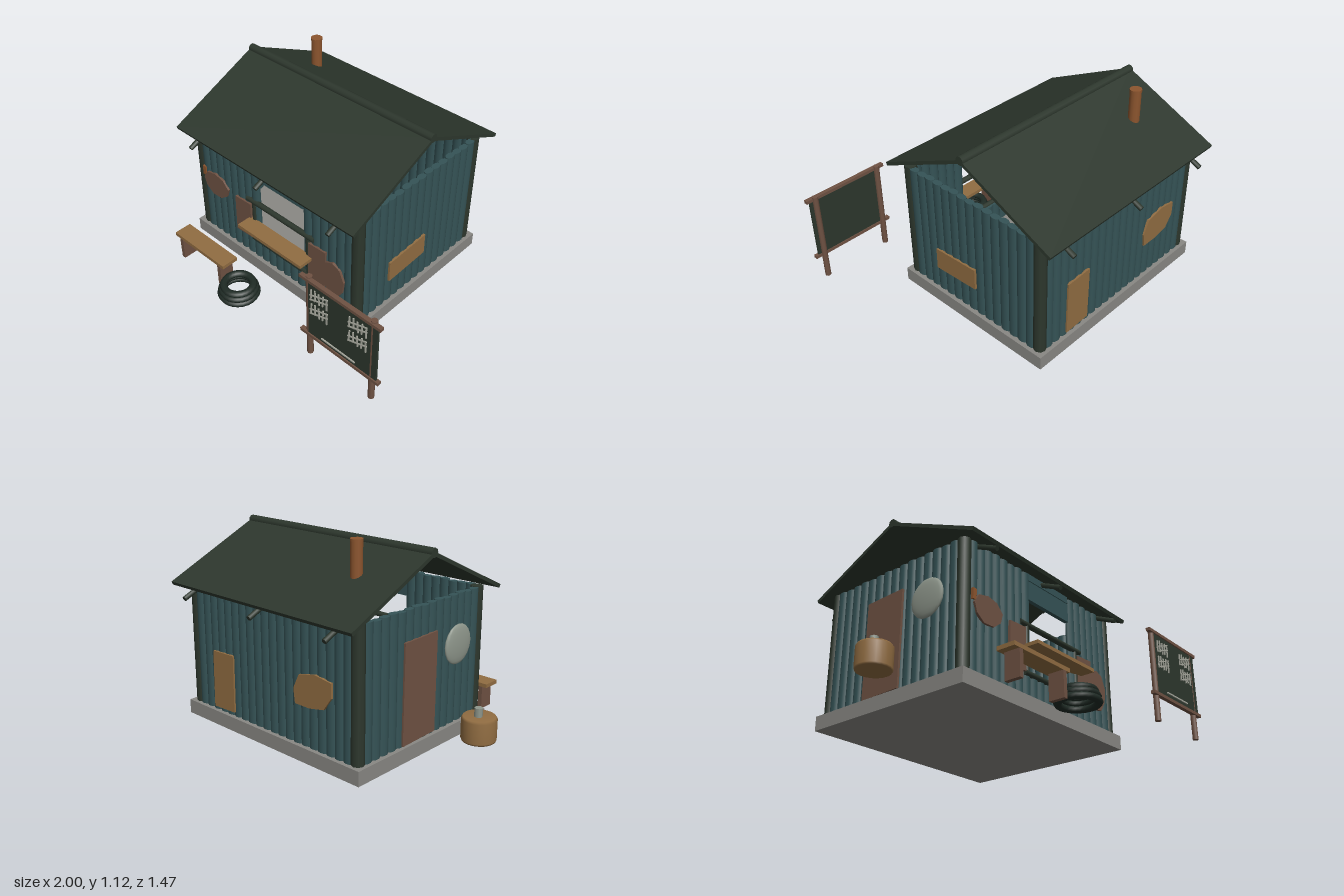
import * as THREE from 'three';

const mat = (name, color) => {
  const m = new THREE.MeshStandardMaterial({ color });
  m.name = name;
  return m;
};

export function createModel() {
  const teal = mat('tealPlank', 0x355356);
  const green = mat('darkGreenWood', 0x2d372d);
  const wood = mat('lightWood', 0x916d42);
  const brown = mat('brownWood', 0x6f5243);
  const rust = mat('rust', 0x8c552e);
  const stone = mat('stone', 0x898884);
  const rubber = mat('rubber', 0x1f2b25);
  const pale = mat('paleMetal', 0x8f978c);
  const chalk = mat('chalk', 0xa9aa9f);

  const model = new THREE.Group();
  const group = (name) => {
    const g = new THREE.Group();
    g.name = name;
    model.add(g);
    return g;
  };
  const add = (parent, name, geo, material, x = 0, y = 0, z = 0) => {
    const m = new THREE.Mesh(geo, material);
    m.name = name;
    m.position.set(x, y, z);
    parent.add(m);
    return m;
  };
  const box = (p, name, material, w, h, d, x, y, z) =>
    add(p, name, new THREE.BoxGeometry(w, h, d), material, x, y, z);
  const cyl = (p, name, material, r, h, x, y, z, sides = 12) =>
    add(p, name, new THREE.CylinderGeometry(r, r, h, sides), material, x, y, z);
  const logX = (p, name, material, r, len, x, y, z) => {
    const m = cyl(p, name, material, r, len, x, y, z, 10);
    m.rotation.z = Math.PI / 2;
    return m;
  };

  // House extents
  const X0 = -0.68, X1 = 0.58, Z0 = -0.62, Z1 = 0.38, Y0 = 0.08, Y1 = 0.79;
  const CX = -0.05, CZ = -0.12;

  box(model, 'foundation', stone, 1.3, 0.08, 1.04, CX, 0.04, CZ);

  // Walls of rounded upright planks
  const walls = group('walls');
  const plank = (x, z, w, y0, y1, alongX) => {
    const m = cyl(walls, 'plank', teal, 1, y1 - y0, x, (y0 + y1) / 2, z, 10);
    m.scale.set(alongX ? w * 0.54 : 0.02, 1, alongX ? 0.02 : w * 0.54);
  };
  const nx = 20, wx = (X1 - X0 - 0.1) / nx;
  for (let i = 0; i < nx; i++) {
    const x = X0 + 0.05 + (i + 0.5) * wx;
    const dy = (i * 7 % 3) * 0.003;
    plank(x, Z0 + 0.02, wx, Y0, Y1 - dy, true);
    const open = Math.abs(x) < 0.18;
    plank(x, Z1 - 0.02, wx, Y0, open ? 0.21 : Y1 - dy, true);
  }
  const nz = 15, wz = (Z1 - Z0 - 0.1) / nz;
  for (let i = 0; i < nz; i++) {
    const z = Z0 + 0.05 + (i + 0.5) * wz;
    const dy = (i * 5 % 3) * 0.003;
    plank(X0 + 0.02, z, wz, Y0, Y1 - dy, false);
    plank(X1 - 0.02, z, wz, Y0, Y1 - dy, false);
  }
  for (const y of [0.695, 0.775])
    box(walls, 'lintelBoard', teal, 0.36, y < 0.7 ? 0.11 : 0.04, 0.024, 0, y, Z1 - 0.02);
  for (const x of [X0 + 0.033, X1 - 0.033])
    for (const z of [Z0 + 0.033, Z1 - 0.033])
      cyl(walls, 'cornerPost', green, 0.035, Y1 - Y0, x, (Y0 + Y1) / 2, z, 8);

  // Roof slabs, ridge log and eave brackets
  const roof = group('roof');
  const run = 0.585, drop = 0.27, pitch = Math.atan2(drop, run);
  for (const s of [1, -1]) {
    const slab = box(roof, 'roofSlab', green, 1.33, 0.02, Math.hypot(run, drop),
      CX, 1.045 - drop / 2, CZ + s * run / 2);
    slab.rotation.x = s * pitch;
    for (const x of [-0.57, -0.05, 0.47]) {
      const b = cyl(roof, 'eaveBracket', green, 0.014, 0.14, x, 0.748, CZ + s * 0.55, 8);
      b.rotation.x = s * (Math.PI / 2 + pitch);
    }
  }
  logX(roof, 'ridgeLog', green, 0.025, 1.33, CX, 1.05, CZ);

  // Chimney pipe
  cyl(model, 'chimney', rust, 0.032, 0.22, -0.435, 1.01, -0.37);
  cyl(model, 'chimneyRim', rust, 0.034, 0.012, -0.435, 1.114, -0.37);

  // Serving hatch: frame logs, counter and shutters
  const hatch = group('servingHatch');
  logX(hatch, 'topRail', green, 0.016, 0.52, 0.005, 0.48, 0.375);
  logX(hatch, 'bottomRail', green, 0.016, 0.48, 0.02, 0.21, 0.375);
  for (const x of [-0.2, 0.22]) cyl(hatch, 'sideRail', green, 0.016, 0.27, x, 0.345, 0.372, 8);
  box(hatch, 'counter', wood, 0.49, 0.02, 0.1, 0.01, 0.345, 0.425);

  // Flat patches cut from a short outline, centred on their own origin
  const patch = (name, material, pts, x, y, z, turn) => {
    const shape = new THREE.Shape(pts.map(([a, b]) => new THREE.Vector2(a, b)));
    const geo = new THREE.ExtrudeGeometry(shape, { depth: 0.014, bevelEnabled: false });
    const m = add(model, name, geo, material, x, y, z);
    m.rotation.y = turn;
    return m;
  };
  const rect = (w, h) => [[-w / 2, -h / 2], [w / 2 - 0.004, -h / 2 + 0.006],
    [w / 2, h / 2], [-w / 2 + 0.005, h / 2 - 0.006]];
  const blob = (w, h) => Array.from({ length: 9 }, (_, i) => {
    const a = (i + 0.3) / 9 * Math.PI * 2, k = 1 - (i % 3) * 0.03;
    return [Math.cos(a) * w / 2 * k, Math.sin(a) * h / 2 * k];
  });
  patch('leftShutter', brown, rect(0.13, 0.25), -0.285, 0.33, 0.375, 0);
  patch('rightShutter', brown, rect(0.13, 0.25), 0.29, 0.33, 0.375, 0);
  patch('roundFrontPatch', brown, blob(0.215, 0.165), -0.51, 0.435, 0.376, 0);
  patch('tallFrontPatch', brown, blob(0.16, 0.25), 0.41, 0.3, 0.376, 0);
  patch('sidePatch', wood, rect(0.3, 0.135), 0.575, 0.303, -0.012, Math.PI / 2).rotation.z = 0.03;
  patch('backPatch', wood, rect(0.17, 0.33), 0.3, 0.265, -0.615, Math.PI);
  const backLeaf = [[-0.13, 0.08], [-0.02, 0.095], [0.09, 0.07], [0.13, -0.01],
    [0.12, -0.09], [0.02, -0.09], [-0.08, -0.07], [-0.13, 0]].map(([a, b]) => [-a, b]);
  patch('roundBackPatch', wood, backLeaf, -0.38, 0.39, -0.615, Math.PI);
  patch('sideDoor', brown, rect(0.26, 0.55), -0.675, 0.36, -0.17, -Math.PI / 2);
  box(model, 'wallLamp', rust, 0.025, 0.06, 0.025, -0.61, 0.49, 0.375);

  // Round metal disc on the side wall
  const disc = add(model, 'wallDisc', new THREE.SphereGeometry(0.11, 20, 10), pale, -0.685, 0.52, 0.14);
  disc.scale.x = 0.18;

  // Chopping block with a small cup
  const block = group('choppingBlock');
  const profile = [[0, 0], [0.088, 0], [0.092, 0.01], [0.092, 0.118], [0.084, 0.13], [0, 0.13]];
  add(block, 'block', new THREE.LatheGeometry(profile.map(([r, y]) => new THREE.Vector2(r, y)), 20),
    wood, -0.91, 0.085, 0.035);
  cyl(block, 'cup', pale, 0.022, 0.05, -0.91, 0.238, 0.025, 8);

  // Bench
  const bench = group('bench');
  box(bench, 'seat', wood, 0.42, 0.022, 0.105, -0.41, 0.152, 0.583);
  for (const x of [-0.57, -0.24]) box(bench, 'leg', brown, 0.025, 0.142, 0.09, x, 0.071, 0.59);

  // Stacked tyres
  const tyres = group('tyres');
  [[0.1, 0.022], [0.094, 0.05], [0.083, 0.076]].forEach(([r, y]) => {
    const t = add(tyres, 'tyre', new THREE.TorusGeometry(r, 0.022, 8, 24), rubber, -0.105, y, 0.61);
    t.rotation.x = Math.PI / 2;
    t.scale.z = 0.85;
  });

  // Score board on two posts
  const board = group('scoreBoard');
  box(board, 'panel', green, 0.45, 0.36, 0.012, 0.755, 0.42, 0.692);
  for (const x of [0.533, 0.945]) cyl(board, 'post', brown, 0.017, 0.54, x, 0.355, 0.683, 8);
  for (const y of [0.61, 0.237]) box(board, 'rail', brown, 0.515, 0.018, 0.024, 0.742, y, 0.693);
  for (const x0 of [0.562, 0.81]) {
    for (const y of [0.53, 0.435]) {
      for (let i = 0; i < 5; i++)
        box(board, 'tally', chalk, 0.007, 0.07, 0.006, x0 + i * 0.026, y + (i % 2) * 0.006, 0.702)
          .rotation.z = (i % 3 - 1) * 0.06;
      for (const d of [-0.012, 0.018])
        box(board, 'tallySlash', chalk, 0.125, 0.006, 0.006, x0 + 0.052, y + d, 0.704).rotation.z = 0.35;
    }
  }
  box(board, 'underline', chalk, 0.22, 0.008, 0.006, 0.74, 0.272, 0.702);

  return model;
}
